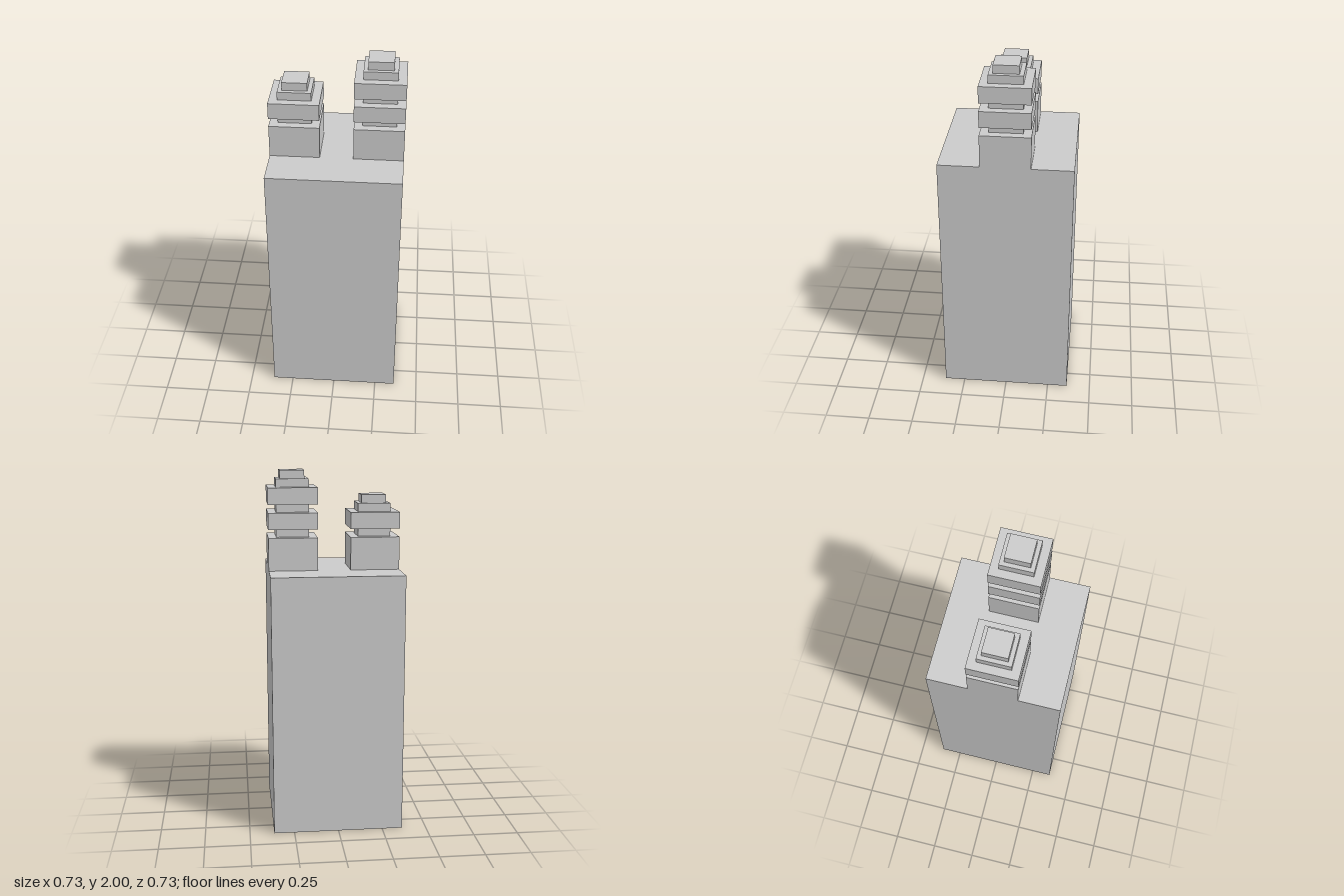
import * as THREE from 'three';

const U = 2 / 44; // one modelling unit
const material = new THREE.MeshStandardMaterial({ color: 0xcccccc, flatShading: true });

// Square block standing on height y (all sizes in units)
function block(name, width, height, y) {
  const mesh = new THREE.Mesh(new THREE.BoxGeometry(width * U, height * U, width * U), material);
  mesh.name = name;
  mesh.position.y = (y + height / 2) * U;
  return mesh;
}

// Terminal post: base, a stack of necks and insulator plates, then a stepped cap
function terminal(name, x, plates) {
  const post = new THREE.Group();
  post.name = name;
  post.position.set(x * U, 32 * U, 0);
  let y = 0;
  const stack = (part, width, height) => {
    post.add(block(part, width, height, y));
    y += height;
  };
  stack('terminalBase', 6, 4);
  for (let i = 0; i < plates; i++) {
    stack('neck', 4, 1);
    stack('insulatorPlate', 6, 2);
  }
  stack('capStep', 4, 1);
  stack('capTop', 3, 1);
  return post;
}

export function createModel() {
  const model = new THREE.Group();
  model.name = 'blockWithTerminals';
  model.add(block('body', 16, 32, 0));
  model.add(terminal('leftTerminal', 5, 2));
  model.add(terminal('rightTerminal', -5, 1));
  return model;
}
